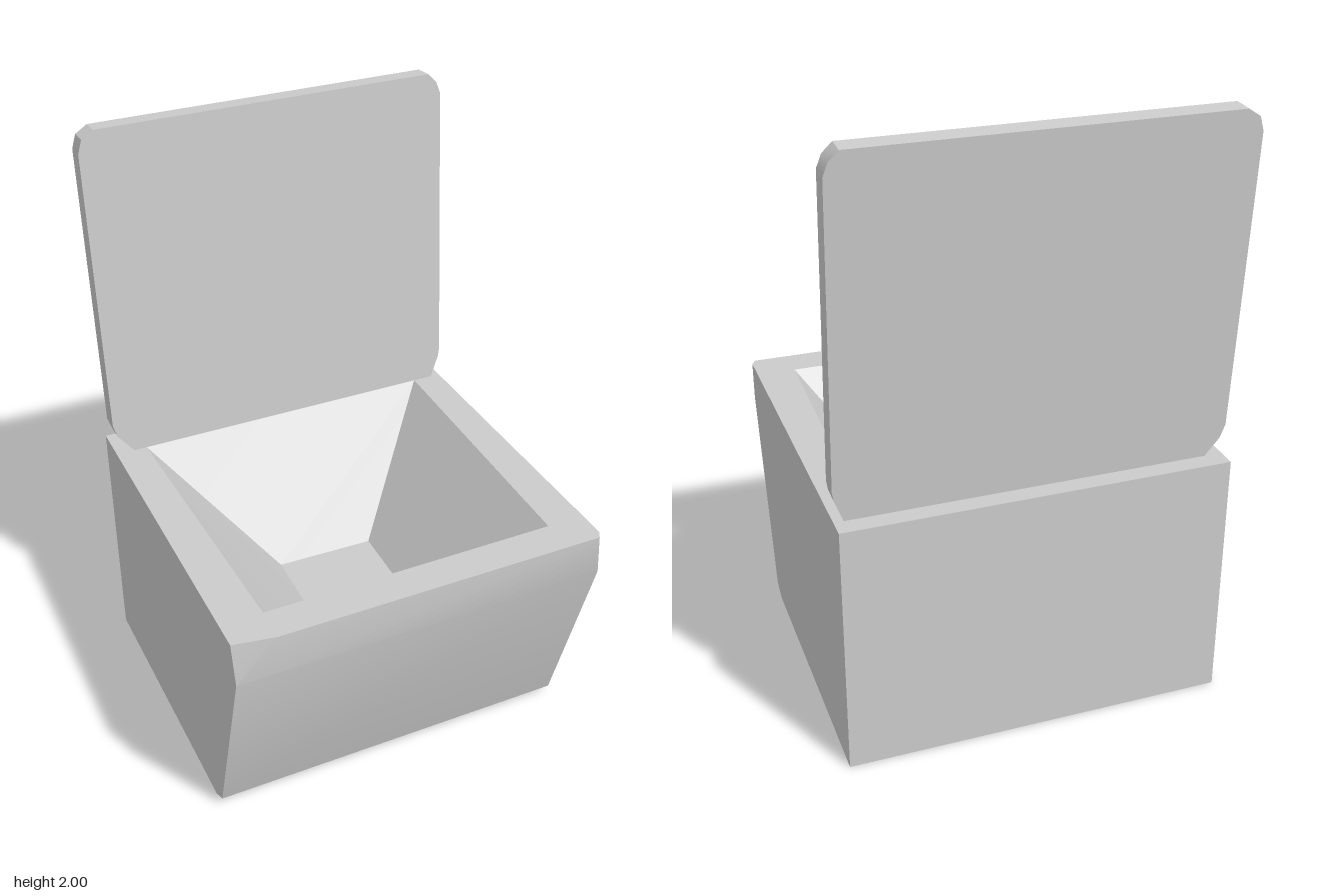
import * as THREE from 'three';
import { toCreasedNormals } from 'three/addons/utils/BufferGeometryUtils.js';

// Skin a stack of equal-length closed loops and cap both ends
function loft(rows) {
  const n = rows[0].length, pos = [];
  const tri = (a, b, c) => {
    const area = new THREE.Triangle(new THREE.Vector3(...a), new THREE.Vector3(...b), new THREE.Vector3(...c)).getArea();
    if (area > 1e-7) pos.push(...a, ...b, ...c);
  };
  for (let i = 0; i < rows.length - 1; i++) {
    for (let k = 0; k < n; k++) {
      const j = (k + 1) % n;
      tri(rows[i][k], rows[i][j], rows[i + 1][j]);
      tri(rows[i][k], rows[i + 1][j], rows[i + 1][k]);
    }
  }
  const first = rows[0], last = rows[rows.length - 1];
  for (let k = 1; k < n - 1; k++) {
    tri(first[0], first[k + 1], first[k]);
    tri(last[0], last[k], last[k + 1]);
  }
  const g = new THREE.BufferGeometry();
  g.setAttribute('position', new THREE.Float32BufferAttribute(pos, 3));
  return toCreasedNormals(g, 0.4);
}

// Loop from four corners (front corners doubled): back left, front left, front right, back right
const quad = (y, [a, b, c, d]) => [a, b, b, c, c, d].map(([x, z]) => [x, y, z]);

export function createModel() {
  const model = new THREE.Group();
  model.name = 'openBin';
  const material = new THREE.MeshStandardMaterial({ color: 0xcccccc });
  const W = 0.633, BACK = -0.608, H = 0.855;
  const outer = (y, front) => quad(y, [[-W, BACK], [-W, front], [W, front], [W, BACK]]);

  // Body: sloped front, clipped front rim corners, tapered hollow
  const rim = [[-W, BACK], [-0.637, 0.603], [-0.498, 0.628], [0.622, 0.628], [0.637, 0.603], [W, BACK]];
  const body = new THREE.Mesh(loft([
    outer(0, 0.37),
    outer(0.03, 0.425),
    outer(0.71, 0.625),
    rim.map(([x, z]) => [x, H, z]),
    quad(H, [[-0.525, -0.48], [-0.495, 0.51], [0.505, 0.507], [0.53, -0.48]]),
    quad(0.43, [[-0.158, -0.167], [-0.166, 0.181], [0.179, 0.191], [0.187, -0.159]]),
  ]), material);
  body.name = 'body';

  // Lid: thin panel with clipped corners, leaning back
  const L = 0.635, T = 1.148, thickness = 0.067;
  const outline = [
    [-0.57, 0], [0.6, 0], [0.63, 0.08], [L, 0.11],
    [L, T - 0.07], [0.62, T - 0.03], [0.59, T],
    [-0.58, T], [-0.62, T - 0.025], [-L, T - 0.07],
    [-L, 0.11], [-0.62, 0.065],
  ].map(([x, y]) => new THREE.Vector2(x, y));
  const lidGeometry = new THREE.ExtrudeGeometry(new THREE.Shape(outline), { depth: thickness, bevelEnabled: false });
  lidGeometry.translate(0, 0, -thickness);
  const lid = new THREE.Mesh(toCreasedNormals(lidGeometry, 0.5), material);
  lid.name = 'lid';
  lid.position.set(0, H, -0.478);
  lid.rotation.x = -0.074;

  // The whole bin sits slightly turned
  const turned = new THREE.Group();
  turned.name = 'bin';
  turned.rotation.y = -0.02;
  turned.add(body, lid);
  model.add(turned);
  return model;
}
